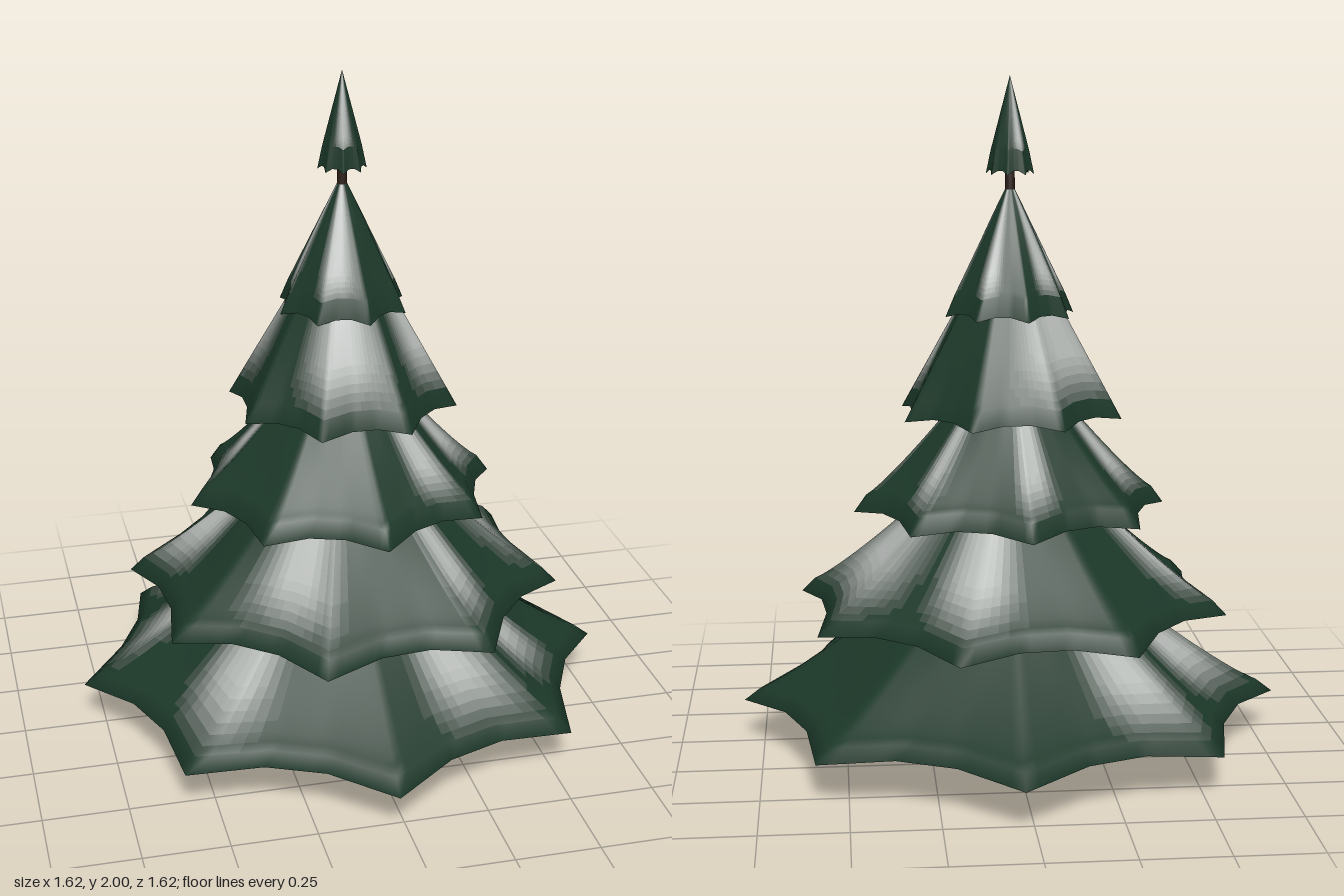
import * as THREE from 'three';

const SPOKES = 24, SUB = 5, SEG = SPOKES * SUB; // 8 tips, every third spoke
const RAD = Math.PI / 180;

// Needle green fading to snow in small steps
const GREEN = new THREE.Color(0x1b3728), SNOW = new THREE.Color(0xb4b8b5), LEVELS = 16;
const shades = Array.from({ length: LEVELS }, (_, i) =>
  new THREE.MeshStandardMaterial({ color: GREEN.clone().lerp(SNOW, i / (LEVELS - 1)) }));
const bark = new THREE.MeshStandardMaterial({ color: 0x2b1d16 });

// y: hem height, r: tip radius, h: height, p: flare, turn: angle of the first tip,
// snow: [centre angle, half width] of each snowy patch, in degrees
const TIERS = [
  { y: 0.12, r: 0.81, h: 0.60, p: 1.15, turn: 2, snow: [[28, 9], [62, 13], [140, 13], [195, 13], [233, 13]] },
  { y: 0.415, r: 0.66, h: 0.58, p: 1.15, turn: 17, snow: [[55, 8], [122, 16], [192, 14], [288, 15], [350, 28]] },
  { y: 0.715, r: 0.47, h: 0.53, p: 1.15, turn: -3, snow: [[52, 10], [10, 12], [318, 8], [262, 9], [194, 13]] },
  { y: 1.005, r: 0.345, h: 0.60, p: 1, turn: 23, snow: [[103, 28], [25, 22], [225, 38]] },
  { y: 1.3, r: 0.197, h: 0.40, p: 1, turn: 34, snow: [[110, 20], [0, 12], [182, 13], [225, 14], [300, 12]] },
  { y: 1.715, r: 0.071, h: 0.285, p: 1, turn: 10, snow: [[98, 26], [240, 20]] },
];

// One point of a spoke: s runs from 0 at the axis to 1 at the hem
function spokePoint(tier, k, s, y) {
  const dip = k % 3 === 0 ? 0 : 1; // spokes between tips are shorter and lifted
  const rad = tier.r * s * (1 - 0.135 * dip * s);
  const a = (tier.turn + k * 360 / SPOKES) * RAD;
  const lift = dip * s * s * (0.011 + 0.012 * tier.r);
  return new THREE.Vector3(rad * Math.cos(a), y + lift, rad * Math.sin(a));
}

// Skin rings of [s, y] into a surface with straight edges between spokes
function starSkin(tier, rings) {
  const pos = [], index = [];
  for (const [s, y] of rings) {
    for (let j = 0; j < SEG; j++) {
      const k = Math.floor(j / SUB);
      const v = spokePoint(tier, k, s, y).lerp(spokePoint(tier, (k + 1) % SPOKES, s, y), (j % SUB) / SUB);
      pos.push(v.x, v.y, v.z);
    }
  }
  for (let i = 0; i < rings.length - 1; i++) {
    for (let j = 0; j < SEG; j++) {
      const a = i * SEG + j, d = i * SEG + (j + 1) % SEG, b = a + SEG, c = d + SEG;
      index.push(a, d, c, a, c, b);
    }
  }
  const geo = new THREE.BufferGeometry();
  geo.setAttribute('position', new THREE.Float32BufferAttribute(pos, 3));
  geo.setIndex(index);
  geo.computeVertexNormals();
  return geo;
}

// Snow cover 0..1 at an angle and distance along the bough
function snowAt(tier, deg, s) {
  let w = 0;
  for (const [centre, half] of tier.snow) {
    const off = Math.abs(((deg - centre + 540) % 360 + 360) % 360 - 180);
    w = Math.max(w, 1 - THREE.MathUtils.smoothstep(off, half * 0.15, half * 1.5));
  }
  return w * (1 - THREE.MathUtils.smoothstep(s, 0.66, 0.97));
}

function makeTier(tier, n) {
  const group = new THREE.Group();
  group.name = `foliageTier${n + 1}`;
  const rimW = Math.min(0.02 + 0.035 * tier.r, 0.2 * tier.r) / tier.r, rimH = 0.07 - 0.04 * tier.r;
  const sRim = 1 - rimW, STEPS = 22;

  // Upper surface, ending in a steeper rim
  const rings = [];
  for (let i = 0; i <= STEPS; i++) {
    const y = tier.y + rimH + (tier.h - rimH) * Math.pow(1 - i / STEPS, tier.p);
    rings.push([sRim * i / STEPS, y]);
  }
  rings.push([1, tier.y]);

  // Shallow underside, rounded smoothly into the rim
  for (const s of [0.95, 0.85, 0.65, 0.4, 0.2, 0]) {
    rings.push([s, tier.y + 0.14 * tier.h * Math.pow(1 - s, 0.7)]);
  }
  const skin = starSkin(tier, rings);

  // Sort the faces into shades from green to snow
  const buckets = shades.map(() => []);
  const idx = skin.index.array;
  for (let f = 0; f < idx.length; f += 6) {
    const cell = f / 6, ring = Math.floor(cell / SEG), j = cell % SEG;
    const s = (rings[ring][0] + rings[ring + 1][0]) / 2;
    const w = ring < STEPS ? snowAt(tier, tier.turn + (j + 0.5) * 360 / SEG, s) : 0;
    buckets[Math.round(w * (LEVELS - 1))].push(...idx.slice(f, f + 6));
  }
  buckets.forEach((faces, i) => {
    if (!faces.length) return;
    const geo = new THREE.BufferGeometry();
    geo.setAttribute('position', skin.getAttribute('position'));
    geo.setAttribute('normal', skin.getAttribute('normal'));
    geo.setIndex(faces);
    const mesh = new THREE.Mesh(geo, shades[i]);
    mesh.name = i === 0 ? 'needles' : `snowShade${i}`;
    group.add(mesh);
  });
  return group;
}

export function createModel() {
  const tree = new THREE.Group();
  tree.name = 'snowyFirTree';

  // Tapering trunk with a rounded foot
  const profile = [[0, 0], [0.03, 0.003], [0.048, 0.015], [0.057, 0.04], [0.06, 0.08], [0.058, 0.2], [0.015, 1.66], [0.013, 1.8], [0, 1.82]]
    .map(([x, y]) => new THREE.Vector2(x, y));
  const trunk = new THREE.Mesh(new THREE.LatheGeometry(profile, 20), bark);
  trunk.name = 'trunk';
  tree.add(trunk);

  TIERS.forEach((tier, n) => tree.add(makeTier(tier, n)));
  return tree;
}
